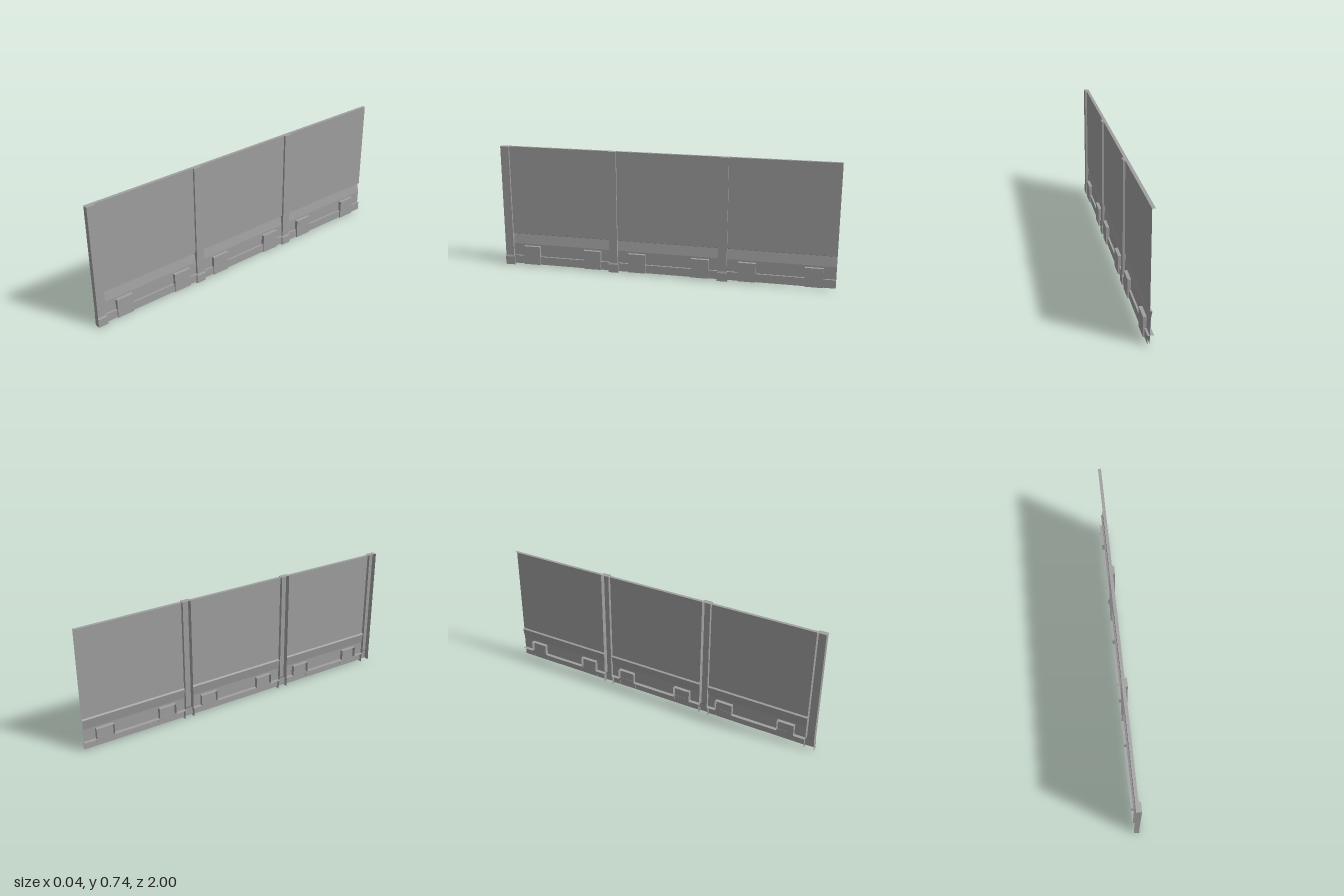
import * as THREE from 'three';

const grey = new THREE.MeshStandardMaterial({ color: 0xa0a0a0, side: THREE.DoubleSide });
grey.name = 'concrete grey';

// Flat-shaded strip of quads between two polylines of [x, y, z] points
function ruled(name, a, b) {
  const pos = [];
  for (let i = 0; i < a.length - 1; i++) {
    pos.push(...a[i], ...a[i + 1], ...b[i + 1], ...a[i], ...b[i + 1], ...b[i]);
  }
  const g = new THREE.BufferGeometry();
  g.setAttribute('position', new THREE.Float32BufferAttribute(pos, 3));
  g.computeVertexNormals();
  const mesh = new THREE.Mesh(g, grey);
  mesh.name = name;
  return mesh;
}

// Sweep an [x, y] profile along z
const sweep = (name, profile, z0, z1) =>
  ruled(name, profile.map(([x, y]) => [x, y, z1]), profile.map(([x, y]) => [x, y, z0]));

const HEIGHT = 0.74, CURB = 0.06, BLOCK = 0.125, FOOT = 0.01, BACK = -0.02;

// Hollow post, open at the back, with a slightly wider bevelled base
function makePost(z0, z1, baseZ0, baseZ1) {
  const post = new THREE.Group();
  post.name = 'post';
  const ring = (y, back, front, a, b) => [[back, y, b], [front, y, b], [front, y, a], [back, y, a]];
  const rings = [
    ring(0, -0.015, 0.018, baseZ0, baseZ1),
    ring(0.05, -0.015, 0.018, baseZ0, baseZ1),
    ring(0.06, -0.016, 0.014, z0, z1),
    ring(HEIGHT, -0.016, 0.014, z0, z1),
  ];
  ['postBase', 'postBevel', 'postShaft'].forEach((name, i) => post.add(ruled(name, rings[i], rings[i + 1])));
  const [a, b, c, d] = rings[3];
  post.add(ruled('postCap', [a, b], [d, c]));
  return post;
}

// Wall bay between posts: overhanging panel, curb and projecting blocks
function makeBay(z0, z1, blocks) {
  const bay = new THREE.Group();
  bay.name = 'wallBay';
  bay.add(sweep('panel', [
    [-0.016, HEIGHT], [0.002, HEIGHT], [0.002, 0.2], [-0.009, 0.195], [0.001, 0.135], [0.001, FOOT],
  ], z0, z1));
  bay.add(sweep('curb', [[0, CURB], [0.012, CURB], [0.012, FOOT]], z0, z1));

  // Stepped rim showing on the back along the curb and around the blocks
  const outline = [[CURB, z0]];
  for (const [a, b] of blocks) outline.push([CURB, a], [BLOCK, a], [BLOCK, b], [CURB, b]);
  outline.push([CURB, z1]);
  bay.add(ruled('backRim', outline.map(([y, z]) => [BACK, y, z]), outline.map(([y, z]) => [0.002, y, z])));

  for (const [a, b] of blocks) {
    const edge = [[FOOT, a], [BLOCK, a], [BLOCK, b], [FOOT, b]];
    bay.add(ruled('blockSides', edge.map(([y, z]) => [0, y, z]), edge.map(([y, z]) => [0.02, y, z])));
    bay.add(sweep('blockFace', [[0.02, BLOCK], [0.02, FOOT]], a, b));
  }
  return bay;
}

export function createModel() {
  const wall = new THREE.Group();
  wall.name = 'wall';
  wall.add(
    makeBay(-1, -0.372, [[-0.928, -0.822], [-0.543, -0.438]]),
    makeBay(-0.322, 0.287, [[-0.267, -0.162], [0.115, 0.22]]),
    makeBay(0.337, 0.947, [[0.39, 0.497], [0.775, 0.877]]),
    makePost(-0.372, -0.322, -0.377, -0.317),
    makePost(0.287, 0.337, 0.282, 0.342),
    makePost(0.947, 0.998, 0.942, 1),
  );
  return wall;
}
